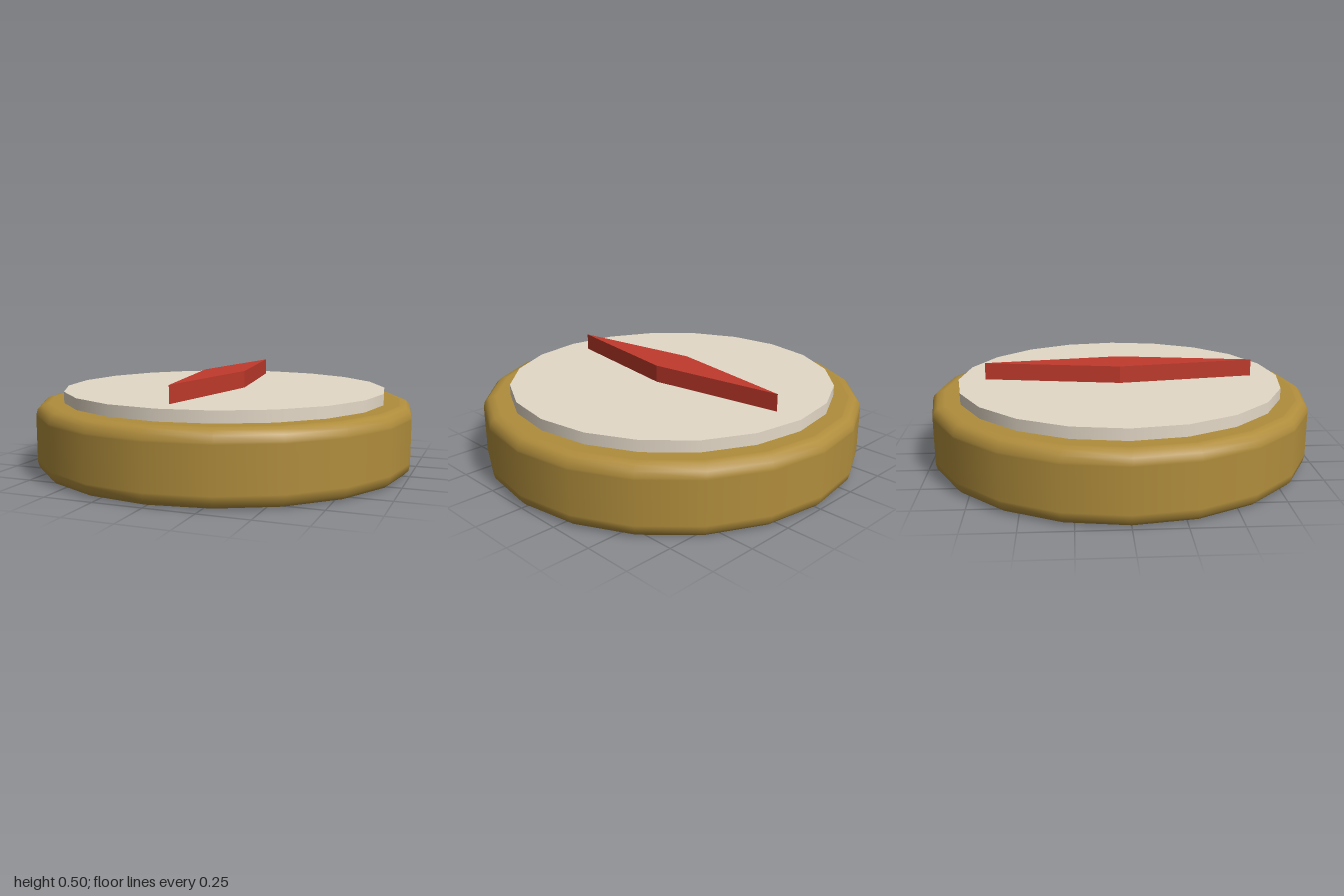
import * as THREE from 'three';

const SIDES = 20;

function material(name, color, flatShading = false) {
  const m = new THREE.MeshStandardMaterial({ color, flatShading });
  m.name = name;
  return m;
}

// Profile of a disc with rounded rims, from bottom centre to top centre
function roundedProfile(radius, height, bevel, steps) {
  const inner = radius - bevel;
  const points = [[0, 0], [inner - 0.01, 0]];
  for (let i = 0; i <= steps; i++) {
    const a = (i / steps) * Math.PI / 2;
    points.push([inner + bevel * Math.sin(a), bevel * (1 - Math.cos(a))]);
  }
  const upper = points.map(([x, y]) => [x, height - y]).reverse();
  const support = [[radius, bevel + 0.01], [radius, height - bevel - 0.01]];
  return [...points, ...support, ...upper].map(([x, y]) => new THREE.Vector2(x, y));
}

export function createModel() {
  const model = new THREE.Group();
  model.name = 'compass';

  function add(name, geometry, mat, y = 0) {
    const mesh = new THREE.Mesh(geometry, mat);
    mesh.name = name;
    mesh.position.y = y;
    model.add(mesh);
  }

  // Brass case with soft rims
  add('case', new THREE.LatheGeometry(roundedProfile(1, 0.357, 0.057, 3), SIDES),
    material('brass', 0xb08d3c));

  // Raised dial
  add('dial', new THREE.CylinderGeometry(0.857, 0.857, 0.07, SIDES),
    material('ivory', 0xe4d9c8), 0.38);

  // Diamond needle pointing front to back
  const needle = new THREE.CylinderGeometry(1, 1, 0.09, 4).scale(0.114, 1, 0.714);
  add('needle', needle, material('red', 0xc0392b, true), 0.459);

  return model;
}
